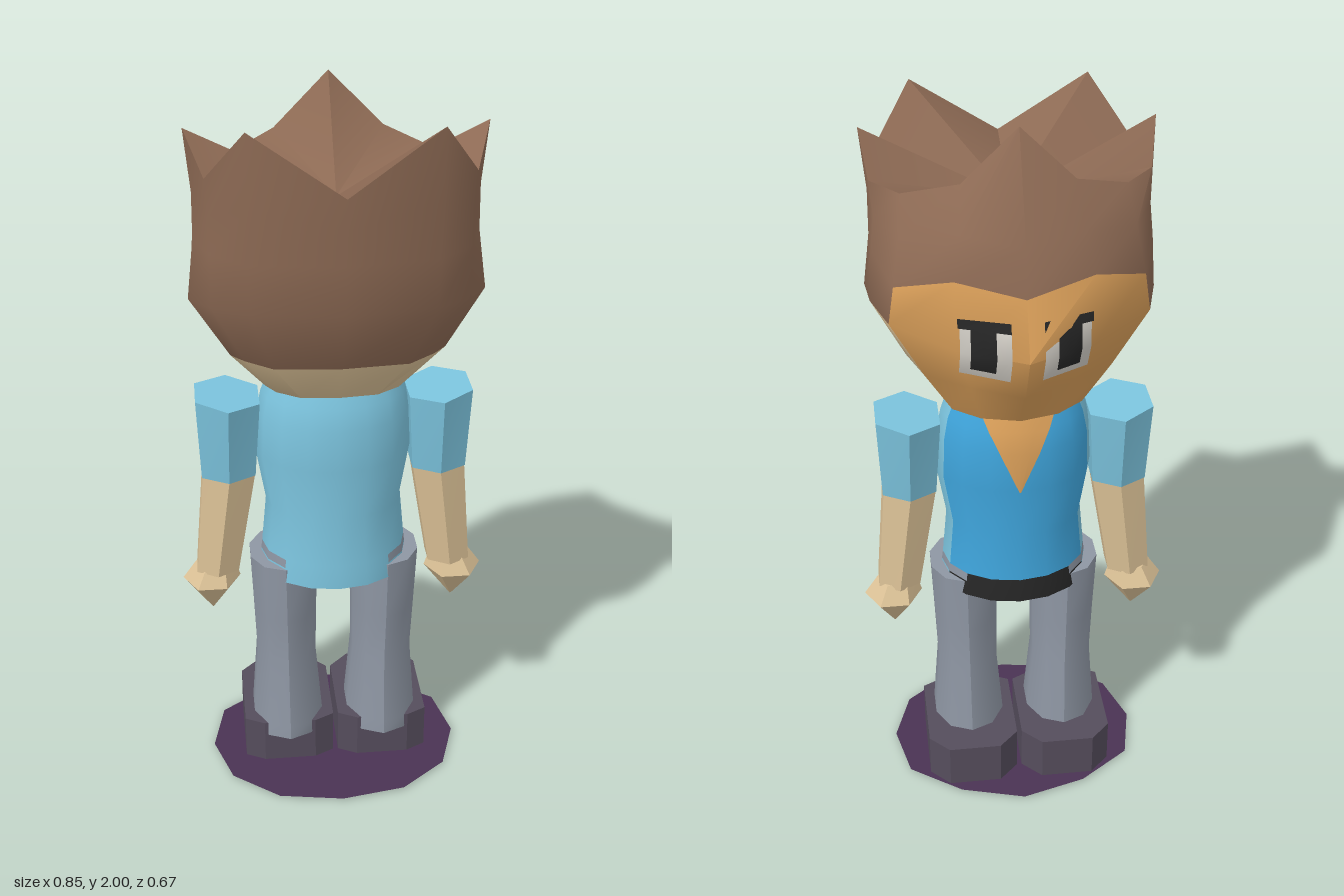
import * as THREE from 'three';
import { toCreasedNormals } from 'three/addons/utils/BufferGeometryUtils.js';

const mat = (name, color, side = THREE.FrontSide) => {
  const m = new THREE.MeshStandardMaterial({ color, side });
  m.name = name;
  return m;
};
const M = {
  skin: mat('skin', 0xdcc297),
  face: mat('faceSkin', 0xdba05a, THREE.DoubleSide),
  hair: mat('hair', 0x8d6a54),
  shirt: mat('lightShirt', 0x7cc4de),
  front: mat('shirtFront', 0x3fa5dc),
  trousers: mat('trousers', 0x8e96a3),
  shoes: mat('shoes', 0x554d5c),
  base: mat('base', 0x4a3353, THREE.DoubleSide),
  black: mat('black', 0x272727, THREE.DoubleSide),
  white: mat('eyeWhite', 0xd6d2ca, THREE.DoubleSide),
};

// Closed skin through rings of points; pick(segment, row) gives each face its material
function loft(name, rings, pick, crease = 0.7, topCentre) {
  const n = rings[0].length, last = rings.length - 1, pos = rings.flat(2), lists = new Map();
  const add = (m, ...ids) => lists.set(m, (lists.get(m) || []).concat(ids));
  const centre = (ring) => [0, 1, 2].map((k) => ring.reduce((s, p) => s + p[k], 0) / n);
  pos.push(...centre(rings[0]), ...(topCentre || centre(rings[last])));
  const low = n * rings.length, high = low + 1;
  for (let i = 0; i < n; i++) {
    const i2 = (i + 1) % n;
    for (let j = 0; j < last; j++) {
      const a = j * n + i, b = j * n + i2, c = b + n, d = a + n;
      add(pick(i, j), a, d, b, b, d, c);
    }
    add(pick(i, -1), low, i, i2);
    add(pick(i, last), high, last * n + i2, last * n + i);
  }
  const geo = new THREE.BufferGeometry();
  geo.setAttribute('position', new THREE.Float32BufferAttribute(pos, 3));
  geo.setIndex([...lists.values()].flat());
  let start = 0, k = 0;
  for (const l of lists.values()) {
    geo.addGroup(start, l.length, k++);
    start += l.length;
  }
  const mats = [...lists.keys()];
  const mesh = new THREE.Mesh(toCreasedNormals(geo, crease), mats.length > 1 ? mats : mats[0]);
  mesh.name = name;
  return mesh;
}

// Elliptical ring; tilt raises points in proportion to x
function oval(y, cx, cz, rx, rz, n, rot = 0, tilt = 0) {
  return Array.from({ length: n }, (_, i) => {
    const t = (i / n) * Math.PI * 2 + rot;
    return [cx + rx * Math.sin(t), y + tilt * rx * Math.sin(t), cz - rz * Math.cos(t)];
  });
}

// Half a ring, from face to back of head, mirrored to a full ring
const mirrorRing = (half) => [...half, ...half.slice(1, -1).reverse().map(([x, y, z]) => [-x, y, z])];
const level = (y, pts) => mirrorRing(pts.map(([x, z]) => [x, y, z]));

function makeHead() {
  const rings = [
    level(1.23, [[0, -.17], [.1, -.145], [.17, -.09], [.19, 0], [.185, .08], [.16, .12], [.1, .16], [0, .17]]),
    level(1.35, [[0, -.26], [.13, -.19], [.24, -.115], [.28, 0], [.275, .14], [.24, .18], [.17, .235], [0, .25]]),
    mirrorRing([[0, 1.49, -.337], [.17, 1.49, -.25], [.325, 1.52, -.15], [.365, 1.51, 0], [.375, 1.5, .12],
      [.32, 1.51, .21], [.23, 1.52, .285], [0, 1.52, .318]]),
    mirrorRing([[0, 1.63, -.275], [.17, 1.67, -.24], [.31, 1.62, -.15], [.355, 1.65, 0], [.357, 1.65, .1],
      [.32, 1.65, .215], [.23, 1.65, .295], [0, 1.65, .325]]),
    mirrorRing([[0, 1.75, -.255], [.15, 1.77, -.2], [.29, 1.73, -.11], [.345, 1.74, 0], [.355, 1.77, .1],
      [.32, 1.75, .218], [.23, 1.79, .3], [0, 1.74, .33]]),
    // crown of spikes and valleys
    mirrorRing([[0, 2, -.12], [.14, 1.86, -.11], [.28, 1.81, -.03], [.352, 1.82, .035], [.37, 1.93, .105],
      [.325, 1.84, .215], [.23, 1.975, .305], [0, 1.82, .335]]),
  ];
  return loft('head', rings, (i, row) => {
    const s = Math.min(i, 13 - i);
    if (row > 2) return M.hair;
    if (s < 2) return M.face;
    return row < 1 || (row === 1 && s < 4) ? M.skin : M.hair;
  }, 0.9, [0, 1.74, .08]);
}

// Thin patch made from a grid of points
function patch(name, rows, material) {
  const w = rows[0].length, idx = [];
  for (let j = 0; j < rows.length - 1; j++)
    for (let i = 0; i < w - 1; i++) {
      const a = j * w + i, d = a + w;
      idx.push(a, d, a + 1, a + 1, d, d + 1);
    }
  const geo = new THREE.BufferGeometry();
  geo.setAttribute('position', new THREE.Float32BufferAttribute(rows.flat(2), 3));
  geo.setIndex(idx);
  geo.computeVertexNormals();
  const mesh = new THREE.Mesh(geo, material);
  mesh.name = name;
  return mesh;
}

// Depth of the face surface
function faceZ(x, y) {
  const up = y > 1.49, a = up ? (y - 1.49) / .16 : (1.49 - y) / .14;
  return -.337 + (up ? .062 : .077) * a + (.51 + (up ? -.3 : .04) * a) * Math.abs(x);
}
function eyePatch(name, side, x0, x1, ys, lift, material) {
  const xs = side > 0 ? [x0, (x0 + x1) / 2, x1] : [-x1, -(x0 + x1) / 2, -x0];
  return patch(name, ys.map((y) => xs.map((x) => [x, y, faceZ(x, y) - lift])), material);
}

function makeTorso() {
  const profile = [[.64, .207, .168], [.685, .203, .165], [.71, .2, .163], [.85, .187, .15], [1, .212, .155],
    [1.12, .207, .157], [1.18, .195, .142], [1.23, .175, .124]];
  const torso = loft('torso', profile.map(([y, rx, rz]) => oval(y, 0, 0, rx, rz, 16)), (i, row) => {
    const s = Math.min(i, 15 - i);
    if (row === 1 && s >= 2 && s <= 5) return M.trousers;
    if (s > 2 || row < 0) return M.shirt;
    return row < 2 ? M.black : M.front;
  });
  // open V of the collar
  const rows = [[1, .002], [1.12, .052], [1.18, .08], [1.23, .1]].map(([y, w]) => {
    const [, rx, rz] = profile.find((p) => p[0] === y);
    return [-1, -.5, 0, .5, 1].map((t) => [t * w, y, -rz * Math.sqrt(1 - (t * w / rx) ** 2) - .005]);
  });
  return [torso, patch('collarOpening', rows, M.face)];
}

function makeArm(s) {
  const arm = new THREE.Group();
  arm.name = s > 0 ? 'leftArm' : 'rightArm';
  arm.add(
    loft('sleeve', [oval(.94, s * .288, 0, .084, .08, 6), oval(1.172, s * .285, 0, .098, .115, 6, 0, s * .08)], () => M.shirt),
    loft('forearm', [oval(.63, s * .327, -.005, .067, .066, 6), oval(.94, s * .288, 0, .082, .078, 6)], () => M.skin),
    loft('hand', [oval(.487, s * .345, -.012, .003, .003, 6, Math.PI / 6),
      oval(.59, s * .345, -.012, .081, .085, 6, Math.PI / 6),
      oval(.642, s * .335, -.01, .055, .055, 6, Math.PI / 6)], () => M.skin),
  );
  return arm;
}

function makeLeg(s) {
  const leg = new THREE.Group();
  leg.name = s > 0 ? 'leftLeg' : 'rightLeg';
  const rings = [[.1, .137, 0, .106, .136], [.14, .137, 0, .105, .134], [.35, .138, -.002, .088, .11],
    [.5, .14, .003, .092, .114], [.68, .142, .004, .098, .118]];
  leg.add(loft('trouserLeg', rings.map(([y, x, z, rx, rz]) => oval(y, s * x, z, rx, rz, 10)), () => M.trousers));
  // shoe block with cut corners
  const x0 = .007, x1 = .266, z0 = -.21, z1 = .105, c = .055;
  const pts = [[x0 + c, z0], [x1 - c, z0], [x1, z0 + c], [x1, z1 - c / 2], [x1 - c, z1], [x0 + c, z1],
    [x0, z1 - c / 2], [x0, z0 + c]];
  const outline = s > 0 ? pts : pts.map(([x, z]) => [-x, z]).reverse();
  leg.add(loft('shoe', [0, .14].map((y) => outline.map(([x, z]) => [x, y, z])), () => M.shoes, 0.4));
  return leg;
}

export function createModel() {
  const model = new THREE.Group();
  model.name = 'figure';
  model.add(makeHead(), ...makeTorso());
  for (const s of [1, -1]) {
    model.add(makeArm(s), makeLeg(s));
    model.add(
      eyePatch('eyeWhite', s, .04, .16, [1.41, 1.49, 1.56], .005, M.white),
      eyePatch('pupil', s, .075, .135, [1.435, 1.49, 1.56], .008, M.black),
      eyePatch('upperLash', s, .04, .165, [1.555, 1.58], .008, M.black),
    );
  }
  // flat ground plate
  const rim = mirrorRing([[0, 0, -.29], [.18, 0, -.24], [.325, 0, -.138], [.36, 0, .02], [.31, 0, .17], [.18, 0, .27], [0, 0, .3]]);
  const plate = new THREE.Mesh(
    new THREE.ShapeGeometry(new THREE.Shape(rim.map(([x, , z]) => new THREE.Vector2(x, -z)))), M.base);
  plate.rotation.x = -Math.PI / 2;
  plate.position.y = .006;
  plate.name = 'groundPlate';
  model.add(plate);
  return model;
}
